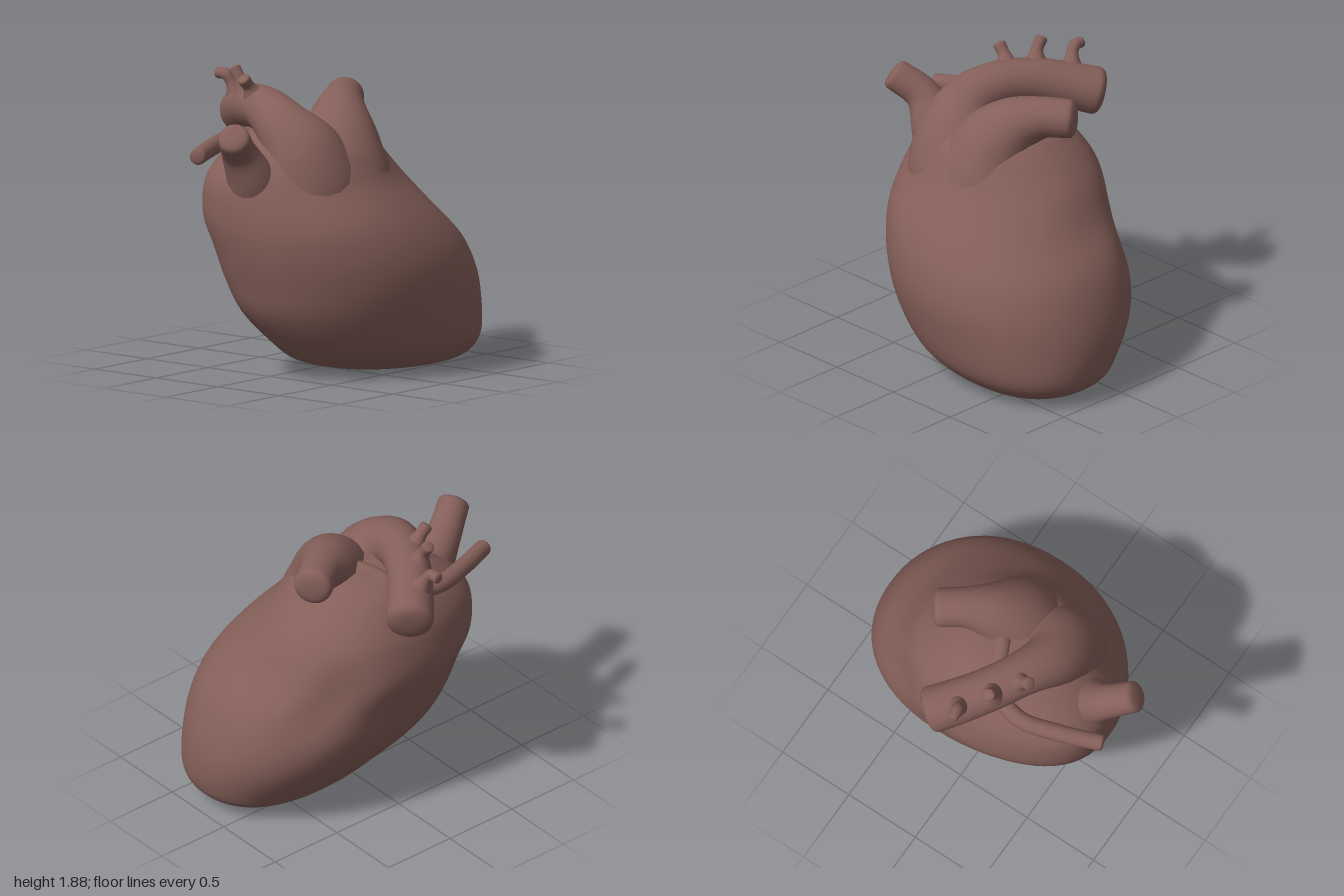
import * as THREE from 'three';

// Skin a list of equal-length point rings into one smooth closed surface
function loft(rings) {
  const n = rings[0].length, pos = [], idx = [];
  rings.forEach(r => r.forEach(p => pos.push(p.x, p.y, p.z)));
  for (let i = 0; i < rings.length - 1; i++) {
    for (let j = 0; j < n; j++) {
      const k = (j + 1) % n, a = i * n, b = a + n;
      idx.push(a + j, a + k, b + j, a + k, b + k, b + j);
    }
  }
  const g = new THREE.BufferGeometry();
  g.setAttribute('position', new THREE.Float32BufferAttribute(pos, 3));
  g.setIndex(idx);
  g.computeVertexNormals();
  return g;
}

// Tapered vessel through [x, y, z, radius] points, with a blunt rounded end
function vessel(points, steps = 36, sides = 24) {
  const curve = new THREE.CatmullRomCurve3(points.map(p => new THREE.Vector3(p[0], p[1], p[2])));
  const radii = new THREE.CatmullRomCurve3(points.map((p, i) => new THREE.Vector3(p[3], i, 0)), false, 'catmullrom');
  const frames = curve.computeFrenetFrames(steps);
  const rings = [];
  const ring = (c, i, r) => {
    const out = [];
    for (let j = 0; j < sides; j++) {
      const a = j / sides * Math.PI * 2;
      out.push(c.clone()
        .addScaledVector(frames.normals[i], Math.cos(a) * r)
        .addScaledVector(frames.binormals[i], Math.sin(a) * r));
    }
    rings.push(out);
  };
  for (let i = 0; i <= steps; i++) {
    const t = curve.getUtoTmapping(i / steps);
    ring(curve.getPoint(t), i, radii.getPoint(t).x);
  }
  const end = curve.getPoint(1), r = points[points.length - 1][3];
  for (const [d, s] of [[0.12, 0.96], [0.23, 0.85], [0.31, 0.66], [0.35, 0.38], [0.36, 0]]) {
    ring(end.clone().addScaledVector(frames.tangents[steps], d * r), steps, s * r);
  }
  return loft(rings);
}

// Body sections: [y, xMin, xMax, zMin, zMax]
const LEVELS = [
  [0.00, 0.35, 0.35, 0.28, 0.28],
  [0.004, 0.14, 0.60, 0.14, 0.44],
  [0.03, -0.12, 0.81, 0.0, 0.58],
  [0.09, -0.35, 0.94, -0.17, 0.68],
  [0.2, -0.5, 0.99, -0.275, 0.755],
  [0.4, -0.66, 0.995, -0.43, 0.80],
  [0.6, -0.73, 0.95, -0.52, 0.82],
  [0.8, -0.78, 0.86, -0.565, 0.785],
  [1.0, -0.805, 0.695, -0.615, 0.69],
  [1.2, -0.79, 0.57, -0.58, 0.54],
  [1.32, -0.72, 0.47, -0.53, 0.47],
  [1.42, -0.6, 0.365, -0.46, 0.41],
  [1.49, -0.47, 0.27, -0.385, 0.33],
  [1.54, -0.32, 0.13, -0.25, 0.2],
  [1.555, -0.1, -0.1, -0.03, -0.03],
];

function bodyGeometry() {
  const path = (ix, iz) => new THREE.CatmullRomCurve3(
    LEVELS.map(l => new THREE.Vector3(l[ix], l[0], l[iz])), false, 'catmullrom');
  const low = path(1, 3), high = path(2, 4);
  const rings = [], steps = 70, sides = 72;
  const round = (v, power) => Math.sign(v) * Math.pow(Math.abs(v), power);
  for (let i = 0; i <= steps; i++) {
    const a = low.getPoint(i / steps), b = high.getPoint(i / steps);
    // sections lean towards the tip, most strongly near the bottom
    const lean = 0.08 + 0.08 * Math.exp(-a.y / 0.3);
    // the front tapers to a narrower ridge near the top, the back stays full
    const front = 0.97 + 0.2 * THREE.MathUtils.smoothstep(a.y, 0.9, 1.35);
    const ring = [];
    for (let j = 0; j < sides; j++) {
      const t = j / sides * Math.PI * 2;
      const power = Math.sin(t) < 0 ? front : 0.92;
      const c = round(Math.cos(t), power), s = round(Math.sin(t), power);
      // the right flank comes to its widest point behind the middle
      const flank = 0.15 * Math.max(0, -c) * (1 - s * s);
      // groove between the chambers on the left of the back
      const dent = 1 - 0.075 * Math.exp(-(((t - 0.88) / 0.33) ** 2) - (((a.y - 0.92) / 0.24) ** 2));
      ring.push(new THREE.Vector3(
        (a.x + b.x) / 2 + (b.x - a.x) / 2 * (c + lean * (1 - c * c)) * dent,
        Math.max(0, a.y),
        (a.z + b.z) / 2 - (b.z - a.z) / 2 * (s + flank) * dent));
    }
    rings.push(ring);
  }
  return loft(rings);
}

export function createModel() {
  const group = new THREE.Group();
  group.name = 'heart';
  const flesh = new THREE.MeshStandardMaterial({ color: 0x855f59 });
  flesh.name = 'flesh brown';
  const add = (name, geometry) => {
    const mesh = new THREE.Mesh(geometry, flesh);
    mesh.name = name;
    group.add(mesh);
  };

  add('heartBody', bodyGeometry());

  // Great vessels, each rising from a broad root inside the body
  add('aorticArch', vessel([
    [-0.2, 0.85, 0.1, 0.25], [-0.26, 1.14, 0.14, 0.34], [-0.32, 1.39, 0.11, 0.265],
    [-0.345, 1.55, -0.02, 0.18], [-0.28, 1.625, -0.2, 0.145], [-0.17, 1.62, -0.4, 0.14],
    [-0.04, 1.575, -0.57, 0.145], [0.075, 1.53, -0.7, 0.15]], 56));
  add('pulmonaryTrunk', vessel([
    [0.0, 0.85, 0.08, 0.25], [-0.02, 1.14, 0.16, 0.35], [0.02, 1.41, 0.13, 0.265],
    [0.13, 1.565, 0.04, 0.185], [0.26, 1.63, -0.05, 0.132], [0.4, 1.635, -0.15, 0.122]], 50));
  add('upperVein', vessel([
    [-0.5, 0.95, -0.03, 0.2], [-0.64, 1.24, -0.02, 0.16],
    [-0.77, 1.445, -0.02, 0.112], [-0.918, 1.56, 0.065, 0.1]]));
  add('rearArtery', vessel([
    [0.03, 1.54, 0.03, 0.06], [-0.06, 1.525, -0.14, 0.055], [-0.17, 1.46, -0.33, 0.055],
    [-0.38, 1.44, -0.42, 0.055], [-0.65, 1.425, -0.35, 0.055], [-0.89, 1.41, -0.255, 0.053]], 48, 18));

  // Three small branches on top of the arch
  const branches = [
    [[-0.29, 1.69, -0.29, 0.09], [-0.335, 1.77, -0.305, 0.042], [-0.383, 1.825, -0.31, 0.041]],
    [[-0.2, 1.69, -0.45, 0.09], [-0.22, 1.78, -0.475, 0.042], [-0.225, 1.85, -0.52, 0.04]],
    [[-0.06, 1.64, -0.62, 0.09], [-0.088, 1.73, -0.655, 0.042], [-0.105, 1.78, -0.69, 0.038], [-0.11, 1.785, -0.75, 0.036]],
  ];
  branches.forEach((b, i) => add('archBranch' + (i + 1), vessel(b, 18, 16)));

  return group;
}
